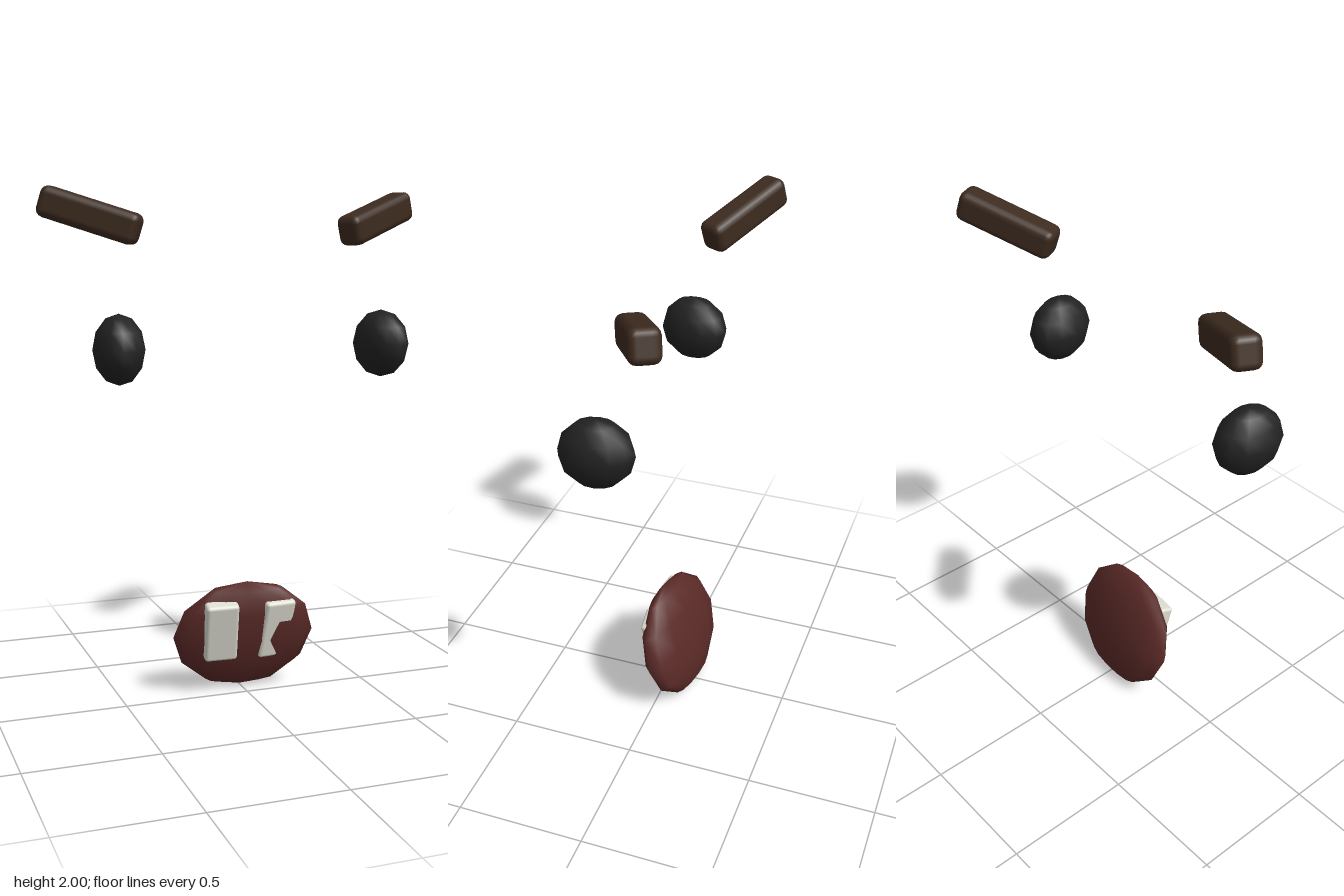
import * as THREE from 'three';
import { RoundedBoxGeometry } from 'three/addons/geometries/RoundedBoxGeometry.js';

const paint = (color) => new THREE.MeshStandardMaterial({ color });

export function createModel() {
  const model = new THREE.Group();
  const browMat = paint(0x3d2b1f);
  const eyeMat = paint(0x222222);
  const mouthMat = paint(0x5a2a27);
  const toothMat = paint(0xddddd2);
  const ball = new THREE.SphereGeometry(1, 12, 6);

  function add(name, geometry, material, position, rotation) {
    const mesh = new THREE.Mesh(geometry, material);
    mesh.name = name;
    mesh.position.set(...position);
    mesh.rotation.set(...rotation, 'YXZ');
    model.add(mesh);
    return mesh;
  }

  // Mirrored pairs: slanted brows above egg-shaped eyes
  const browGeo = new RoundedBoxGeometry(0.395, 0.12, 0.11, 2, 0.03);
  for (const [side, s] of [['left', 1], ['right', -1]]) {
    add(side + 'Brow', browGeo, browMat, [s * 0.588, 1.89, -0.098], [0, s * 0.49, s * 0.305]);
    add(side + 'Eye', ball, eyeMat, [s * 0.53, 1.4, 0.083], [0, s * 0.12, 0])
      .scale.set(0.098, 0.132, 0.14);
  }

  // Flat open mouth, tipped forward at the top and turned slightly
  add('mouth', ball, mouthMat, [-0.003, 0.235, -0.038], [0.29, -0.11, 0])
    .scale.set(0.287, 0.243, 0.073);

  // Two front teeth, partly sunk into the mouth
  const toothGeo = new RoundedBoxGeometry(0.132, 0.25, 0.06, 2, 0.014);
  add('rightTooth', toothGeo, toothMat, [-0.116, 0.27, 0.015], [0.28, -0.1, 0.02]);
  add('leftTooth', toothGeo, toothMat, [0.112, 0.266, 0.015], [0.28, 0.14, -0.02]);

  return model;
}
